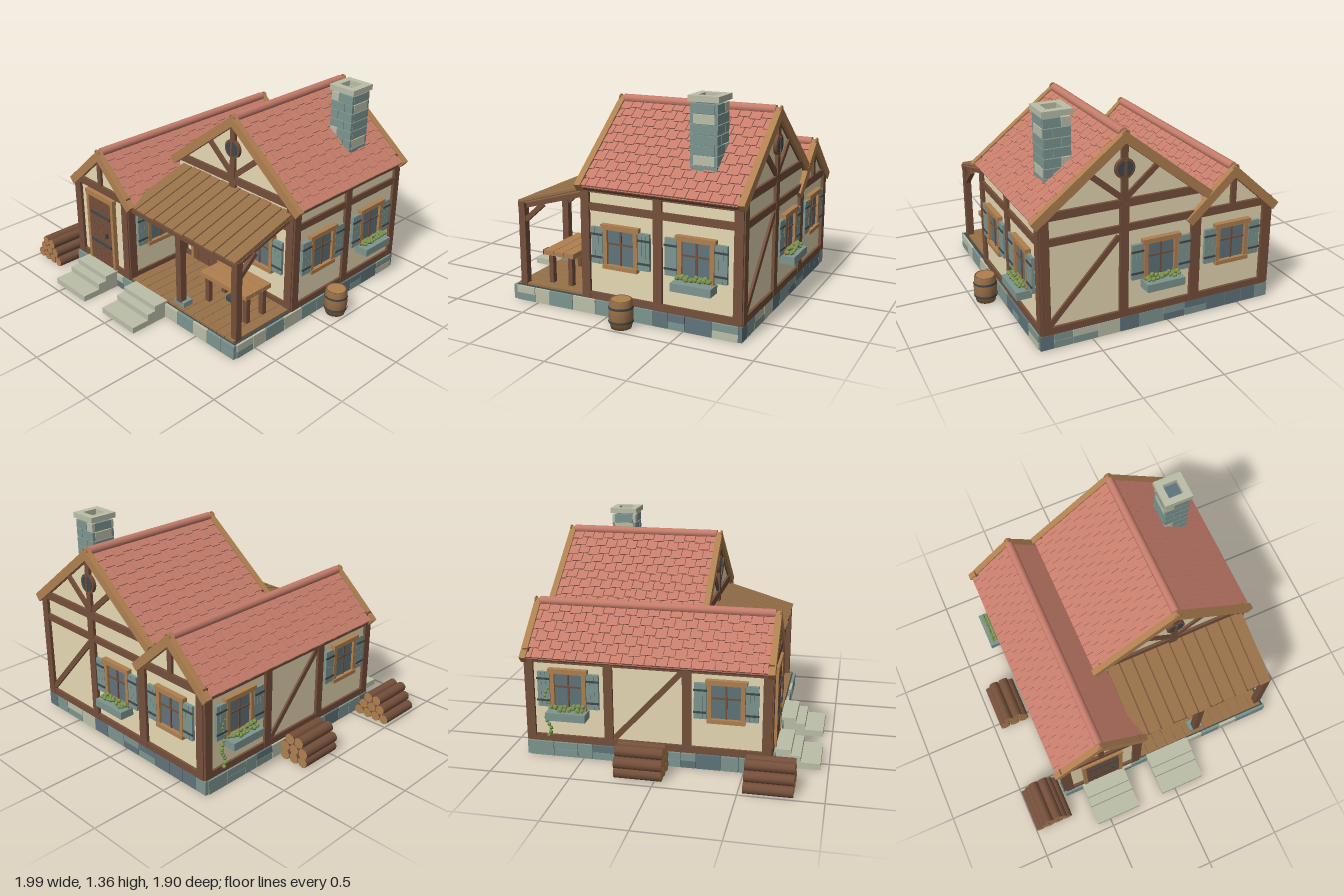
import * as THREE from 'three';
import { mergeGeometries } from 'three/addons/utils/BufferGeometryUtils.js';

const mat = (name, color) => {
  const m = new THREE.MeshStandardMaterial({ color });
  m.name = name;
  return m;
};
const plaster = mat('plaster', 0xe6d9b3), tile = mat('roofTile', 0xc67d6b);
const timber = mat('darkTimber', 0x75503b), oak = mat('lightTimber', 0xb08050);
const plank = mat('plank', 0x977048), stone = mat('blueStone', 0x7e9690);
const pale = mat('paleStone', 0xbbbfa9), slate = mat('slateGlass', 0x60747b);
const iron = mat('iron', 0x40484c), leaf = mat('leaf', 0x7a944f);

let seed = 7;
const rnd = () => (seed = (seed * 16807) % 2147483647) / 2147483647;

export function createModel() {
  const root = new THREE.Group();
  root.name = 'cottage';

  const add = (parent, name, geo, material) => {
    const m = new THREE.Mesh(geo, material);
    m.name = name;
    parent.add(m);
    return m;
  };
  // One mesh from many boxes: [w, h, d, x, y, z, rx, ry, rz]
  const boxes = (parent, name, material, list) => add(parent, name, mergeGeometries(
    list.map(([w, h, d, x, y, z, rx = 0, ry = 0, rz = 0]) => new THREE.BoxGeometry(w, h, d)
      .applyMatrix4(new THREE.Matrix4().makeRotationFromEuler(new THREE.Euler(rx, ry, rz)).setPosition(x, y, z)))), material);
  // A group whose +z faces out of a wall
  const onWall = (name, x, y, z, ry) => {
    const g = new THREE.Group();
    g.name = name;
    g.position.set(x, y, z);
    g.rotation.y = ry;
    root.add(g);
    return g;
  };
  const FRONT = 0, RIGHT = Math.PI / 2, LEFT = -Math.PI / 2, BACK = Math.PI;
  // Sloping brace between two points of a wall plane
  const brace = (x0, y0, x1, y1, w = 0.035, d = 0.03) =>
    [Math.hypot(x1 - x0, y1 - y0), w, d, (x0 + x1) / 2, (y0 + y1) / 2, 0, 0, 0, Math.atan2(y1 - y0, x1 - x0)];

  // Foundation
  boxes(root, 'foundationCore', iron, [[1.53, 0.097, 1.51, 0.055, 0.0485, -0.093]]);
  const stones = [[], [], []];
  const course = (length, put) => {
    for (let t = 0; t < length - 0.001;) {
      let l = 0.09 + rnd() * 0.08;
      if (length - t - l < 0.06) l = length - t;
      const split = rnd() < 0.4, h = split ? 0.045 : 0.092;
      for (let k = 0; k < (split ? 2 : 1); k++) {
        const pick = rnd();
        stones[pick < 0.52 ? 0 : pick < 0.82 ? 1 : 2].push(put(t + l / 2, l - 0.004, 0.003 + h / 2 + k * 0.047, h));
      }
      t += l;
    }
  };
  for (const z of [-0.85, 0.665]) course(1.55, (t, l, y, h) => [l, h, 0.03, -0.72 + t, y, z]);
  for (const x of [-0.71, 0.82]) course(1.5, (t, l, y, h) => [0.03, h, l, x, y, -0.845 + t]);
  [stone, slate, pale].forEach((m, i) => boxes(root, 'foundationStones', m, stones[i]));

  // Plastered bodies
  const body = (name, x0, x1, eave, apex, z0, z1) => {
    const s = new THREE.Shape([[x0, 0.09], [x1, 0.09], [x1, eave], [(x0 + x1) / 2, apex], [x0, eave]]
      .map(p => new THREE.Vector2(...p)));
    add(root, name, new THREE.ExtrudeGeometry(s, { depth: z1 - z0, bevelEnabled: false }).translate(0, 0, z0), plaster);
  };
  body('mainWalls', -0.21, 0.81, 0.8, 1.2, -0.85, 0.16);
  body('wingWalls', -0.7, -0.16, 0.65, 0.89, -0.85, 0.65);

  // Tiled roofs with bargeboards and a rolled ridge
  const roof = (name, cx, top, run, drop, z0, z1, rows) => {
    const g = new THREE.Group(), L = Math.hypot(run, drop), a = Math.atan2(drop, run), D = z1 - z0;
    g.name = name;
    g.position.set(cx, top, (z0 + z1) / 2);
    root.add(g);
    for (const ry of [0, Math.PI]) {
      const s = new THREE.Group();
      s.name = 'roofSlope';
      s.rotation.set(0, ry, -a);
      g.add(s);
      boxes(s, 'roofBoards', timber, [[L - 0.01, 0.02, D - 0.04, L / 2, -0.036, 0]]);
      boxes(s, 'tileBed', tile, [[L - 0.01, 0.01, D - 0.05, L / 2, -0.021, 0]]);
      const list = [], step = (L - 0.01) / rows, n = Math.round((D - 0.07) / 0.07), w = (D - 0.07) / n;
      for (let r = 0; r < rows; r++) for (let i = 0; i <= n; i++) {
        const lo = Math.max(0, i - (r % 2) / 2) * w, hi = Math.min(n, i + 1 - (r % 2) / 2) * w;
        if (hi - lo < 0.01) continue;
        const len = step * 1.2 + (r < rows - 1 ? ((i + r) % 2) * 0.014 : 0);
        list.push([len, 0.012, hi - lo - 0.004, r * step + len / 2 - 0.008, -0.006, (lo + hi) / 2 - (D - 0.07) / 2, 0, 0, 0.1]);
      }
      boxes(s, 'tiles', tile, list);
      boxes(s, 'bargeboards', oak, [-1, 1].map(k => [L + 0.015, 0.055, 0.04, L / 2, -0.016, k * (D / 2 - 0.02)]));
    }
    const ridge = add(g, 'ridgeRoll', new THREE.CylinderGeometry(0.028, 0.028, D - 0.07, 10).rotateX(Math.PI / 2), tile);
    ridge.position.y = -0.002;
    for (const k of [-1, 1])
      add(g, 'ridgeEnd', new THREE.TorusGeometry(0.018, 0.006, 6, 12), oak).position.set(0, 0.002, k * (D / 2 - 0.006));
  };
  roof('mainRoof', 0.3, 1.245, 0.56, 0.44, -0.88, 0.19, 10);
  roof('wingRoof', -0.43, 0.925, 0.31, 0.28, -0.88, 0.675, 6);

  // Timber framing of the long walls
  const sideFrame = (name, x, zs, rails, top) => boxes(root, name, timber, [
    ...zs.map(z => [0.04, top - 0.1, 0.055, x, (top + 0.1) / 2, z]),
    ...rails.map(y => [0.034, 0.045, zs[0] - zs.at(-1), x, y, (zs[0] + zs.at(-1)) / 2])]);
  sideFrame('rightFrame', 0.808, [0.145, -0.335, -0.835], [0.12, 0.675, 0.785], 0.79);
  sideFrame('leftFrame', -0.698, [0.635, 0.15, -0.335, -0.835], [0.12, 0.635], 0.66);
  sideFrame('porchSideFrame', -0.162, [0.635, 0.18], [0.12, 0.635], 0.66);
  const leftBrace = onWall('leftBrace', -0.698, 0, -0.09, LEFT);
  boxes(leftBrace, 'brace', timber, [brace(-0.21, 0.15, 0.21, 0.61)]);

  // Timber framing of the gables
  for (const [name, z, isFront] of [['frontGableFrame', 0.16, true], ['backGableFrame', -0.85, false]]) {
    const g = onWall(name, 0, 0, z, FRONT);
    boxes(g, 'beams', timber, [
      [1.03, 0.05, 0.036, 0.3, 0.83, 0], [1.0, 0.045, 0.034, 0.3, 0.675, 0], [1.0, 0.045, 0.034, 0.3, 0.12, 0],
      [0.04, 0.36, 0.04, 0.3, 1.02, 0], [0.055, 0.72, 0.04, 0.79, 0.46, 0], [0.055, 0.72, 0.04, 0.3, 0.46, 0],
      [0.055, 0.56, 0.04, -0.17, 0.38, 0],
      brace(0.29, 0.86, 0.09, 1.03), brace(0.31, 0.86, 0.51, 1.03),
      ...(isFront ? [] : [brace(0.33, 0.63, 0.77, 0.15)])]);
    for (const [part, r, d, m] of [['ventRim', 0.062, 0.045, timber], ['ventOpening', 0.048, 0.052, iron]])
      add(g, part, new THREE.CylinderGeometry(r, r, d, 16).rotateX(Math.PI / 2).translate(0.3, 1.04, 0), m);
    boxes(g, 'ventBars', timber, [[0.014, 0.1, 0.06, 0.3, 1.04, 0]]);
  }
  for (const z of [0.65, -0.85]) boxes(root, 'wingGableFrame', timber, [
    [0.56, 0.05, 0.036, -0.43, 0.67, z], [0.54, 0.045, 0.034, -0.43, 0.12, z], [0.036, 0.2, 0.036, -0.43, 0.78, z],
    [0.055, 0.56, 0.04, -0.675, 0.38, z], [0.055, 0.56, 0.04, -0.18, 0.38, z]]);

  // Shuttered windows, some with planters
  const win = (x, z, ry, planter) => {
    const g = onWall('window', x, 0.445, z, ry);
    boxes(g, 'glass', slate, [[0.19, 0.22, 0.012, 0, 0, 0.004]]);
    boxes(g, 'frame', oak, [[0.25, 0.03, 0.04, 0, 0.122, 0.014], [0.23, 0.026, 0.04, 0, -0.122, 0.014],
      [0.026, 0.22, 0.03, -0.1, 0, 0.012], [0.026, 0.22, 0.03, 0.1, 0, 0.012]]);
    boxes(g, 'glazingBars', timber, [[0.01, 0.22, 0.022, 0, 0, 0.006], [0.18, 0.01, 0.02, 0, 0.02, 0.006]]);
    boxes(g, 'shutters', stone, [-1, 1].flatMap(k => [-1, 0, 1].map(i => [0.025, 0.225, 0.02, k * 0.155 + i * 0.026, 0, 0.016])));
    boxes(g, 'hinges', iron, [-1, 1].flatMap(k => [-0.07, 0.07].map(y => [0.08, 0.012, 0.008, k * 0.158, y, 0.028])));
    if (!planter) return;
    boxes(g, 'planter', stone, [[0.25, 0.05, 0.095, 0, -0.15, 0.05]]);
    add(g, 'plants', mergeGeometries(Array.from({ length: 16 }, (_, i) =>
      new THREE.IcosahedronGeometry(0.013 + rnd() * 0.006, 0)
        .translate(-0.098 + (i % 8) * 0.028, -0.115 + rnd() * 0.025, i < 8 ? 0.042 : 0.066))), leaf);
  };
  win(0.545, 0.16, FRONT);
  win(0.81, -0.095, RIGHT);
  win(0.81, -0.58, RIGHT, true);
  win(-0.16, 0.4, RIGHT);
  win(-0.7, 0.39, LEFT);
  win(-0.7, -0.585, LEFT, true);
  win(0.06, -0.85, BACK, true);
  win(-0.43, -0.85, BACK);
  add(root, 'hangingVine', mergeGeometries(Array.from({ length: 14 }, (_, i) =>
    new THREE.IcosahedronGeometry(0.014, 0).translate(-0.725 + rnd() * 0.012, 0.14 + i * 0.024, -0.72 + Math.sin(i) * 0.015))), leaf);

  // Plank doors and stone steps
  const door = (x, z, stepX, stepZ) => {
    const g = onWall('door', x, 0, z, FRONT);
    boxes(g, 'doorPlanks', timber, [-2, -1, 0, 1, 2].map(i => [0.046, 0.48, 0.025, i * 0.047, 0.35, 0.012]));
    boxes(g, 'doorFrame', oak, [[0.024, 0.49, 0.036, -0.128, 0.355, 0.012], [0.024, 0.49, 0.036, 0.128, 0.355, 0.012],
      [0.29, 0.035, 0.04, 0, 0.615, 0.012]]);
    boxes(g, 'doorIron', iron, [[0.21, 0.018, 0.01, 0, 0.27, 0.028], [0.21, 0.018, 0.01, 0, 0.48, 0.028],
      [0.015, 0.035, 0.02, 0.065, 0.35, 0.03]]);
    boxes(root, 'steps', pale, [[0.115, 0.1], [0.08, 0.16], [0.04, 0.28]]
      .map(([h, d]) => [0.31, h, d, stepX, h / 2, stepZ + d / 2]));
  };
  door(-0.43, 0.65, -0.435, 0.67);
  door(0.06, 0.16, 0.057, 0.66);

  // Porch: deck, posts and plank roof
  boxes(root, 'porchDeck', plank, Array.from({ length: 13 }, (_, i) => [0.071, 0.02, 0.49, -0.115 + i * 0.0735, 0.1, 0.41]));
  boxes(root, 'porchPosts', timber, [
    [0.045, 0.49, 0.045, 0.3, 0.38, 0.615], [0.045, 0.53, 0.045, 0.785, 0.36, 0.615],
    [0.96, 0.04, 0.045, 0.33, 0.615, 0.615],
    [0.03, 0.03, 0.17, 0.785, 0.575, 0.535, 0.72], [0.03, 0.03, 0.17, 0.3, 0.575, 0.535, 0.72]]);
  boxes(root, 'postFoot', stone, [[0.09, 0.04, 0.07, 0.3, 0.125, 0.6]]);
  const pr = onWall('porchRoof', 0.315, 0.7, 0.4, FRONT);
  pr.rotation.x = Math.atan2(0.14, 0.48);
  boxes(pr, 'roofGaps', timber, [[0.97, 0.006, 0.49, 0, -0.002, 0],
    ...[-0.4, -0.015, 0.455].map(x => [0.035, 0.035, 0.48, x, -0.028, 0])]);
  boxes(pr, 'roofUnderside', plank, [[0.975, 0.008, 0.495, 0, -0.009, 0]]);
  boxes(pr, 'roofPlanks', plank, Array.from({ length: 11 }, (_, i) =>
    [0.08, 0.016, 0.5 + (i % 3) * 0.006, -0.445 + i * 0.089, 0.007, 0]));

  // Workbench on the porch
  boxes(root, 'benchTop', oak, [0, 1, 2].map(i => [0.4, 0.03, 0.07, 0.55, 0.31, 0.32 + i * 0.073]));
  boxes(root, 'benchLegs', timber, [0.385, 0.715].flatMap(x => [0.32, 0.46].map(z => [0.035, 0.2, 0.03, x, 0.2, z])));
  boxes(root, 'vice', iron, [[0.06, 0.03, 0.06, 0.66, 0.285, 0.52]]);

  // Chimney
  boxes(root, 'chimneyCore', slate, [[0.145, 0.42, 0.14, 0.61, 1.1, -0.56]]);
  const bricks = [[], []];
  for (let r = 0; r < 7; r++) {
    const y = 0.93 + r * 0.059, cut = r % 2 ? 0.11 : 0.06;
    for (const z of [-0.632, -0.488]) {
      bricks[r % 4 === 2 ? 1 : 0].push([cut - 0.004, 0.054, 0.024, 0.525 + cut / 2, y, z]);
      bricks[0].push([0.166 - cut, 0.054, 0.024, 0.693 - (0.166 - cut) / 2, y, z]);
    }
    for (const x of [0.537, 0.683]) bricks[r % 4 === 1 ? 1 : 0].push([0.024, 0.054, 0.13, x, y, -0.56]);
  }
  boxes(root, 'chimneyStones', stone, bricks[0]);
  boxes(root, 'chimneyPaleStones', pale, bricks[1]);
  boxes(root, 'chimneyCap', pale, [-1, 1].flatMap(k => [
    [0.19, 0.035, 0.045, 0.61, 1.34, -0.56 + k * 0.0725], [0.045, 0.035, 0.1, 0.61 + k * 0.0725, 1.34, -0.56]]));

  // Log piles
  const pile = (cx, cz, rows, len, r) => rows.forEach((n, j) => {
    for (let i = 0; i < n; i++)
      add(root, 'log', new THREE.CylinderGeometry(r, r, len, 10).rotateX(Math.PI / 2), [timber, oak, oak])
        .position.set(cx + (i - (n - 1) / 2) * r * 2, r + j * r * 1.74, cz);
  });
  pile(-0.865, 0.675, [4, 3, 2], 0.29, 0.033);
  pile(-0.85, -0.1, [3, 3, 2], 0.29, 0.035);

  // Barrel
  const barrel = new THREE.Group();
  barrel.name = 'barrel';
  barrel.position.set(0.92, 0, -0.145);
  root.add(barrel);
  add(barrel, 'staves', new THREE.LatheGeometry([[0, 0], [0.062, 0], [0.073, 0.06], [0.074, 0.11], [0.066, 0.175], [0.058, 0.175], [0.058, 0.163]]
    .map(p => new THREE.Vector2(...p)), 14), plank);
  add(barrel, 'lid', new THREE.CylinderGeometry(0.06, 0.06, 0.01, 14), oak).position.y = 0.167;
  for (const y of [0.045, 0.13])
    add(barrel, 'hoop', new THREE.CylinderGeometry(0.076, 0.076, 0.015, 14, 1, true), iron).position.y = y;

  return root;
}
